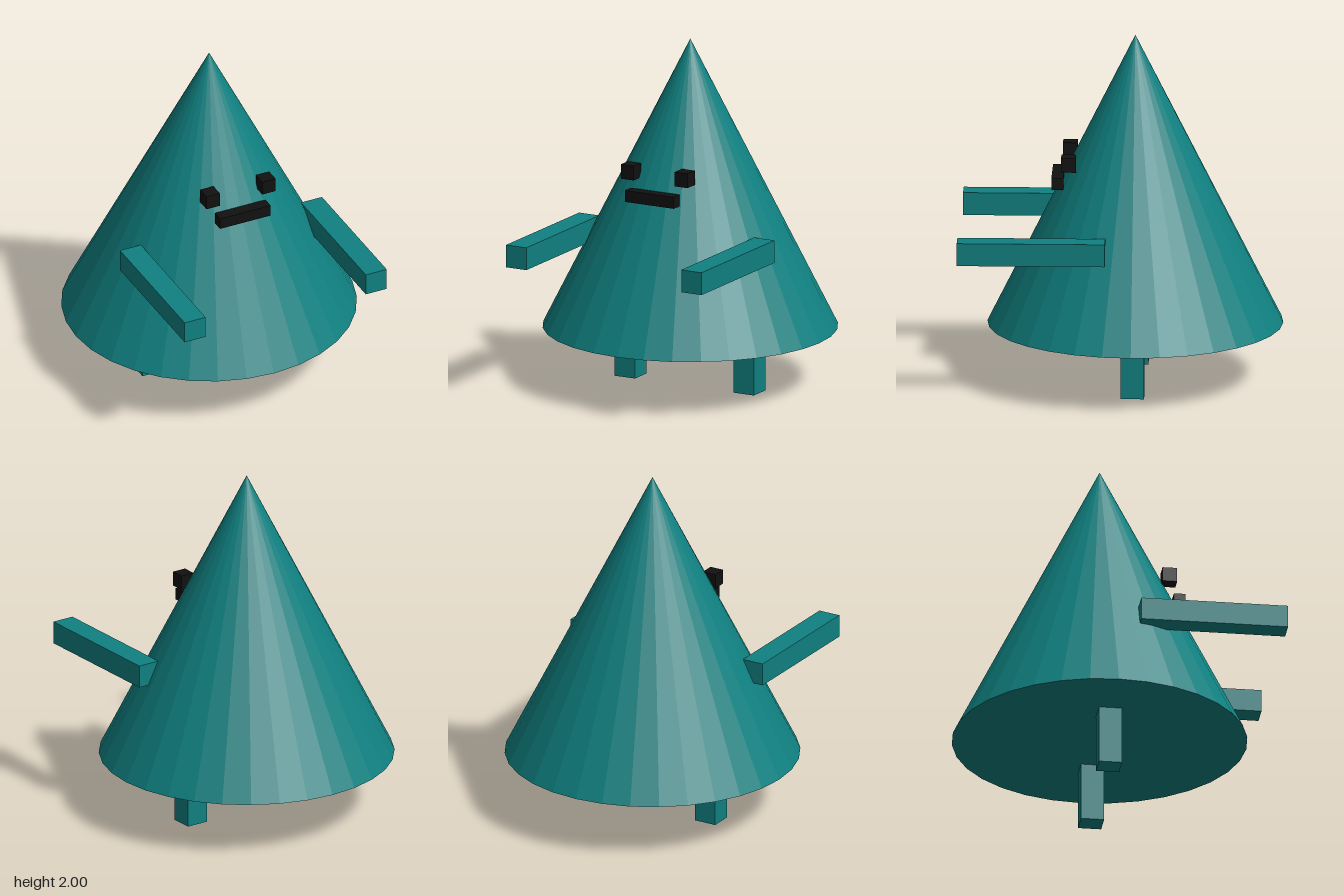
import * as THREE from 'three';

export function createModel() {
  const model = new THREE.Group();
  const teal = new THREE.MeshStandardMaterial({ color: 0x108080, flatShading: true });
  teal.name = 'teal';
  const black = new THREE.MeshStandardMaterial({ color: 0x111111 });
  black.name = 'black';

  function addBox(name, size, position, material) {
    const mesh = new THREE.Mesh(new THREE.BoxGeometry(...size), material);
    mesh.name = name;
    mesh.position.set(...position);
    model.add(mesh);
  }

  // Cone body
  const body = new THREE.Mesh(new THREE.ConeGeometry(0.832, 1.664, 32), teal);
  body.name = 'body';
  body.position.set(0, 1.168, -0.076);
  model.add(body);

  // Paired limbs and eyes
  for (const [side, s] of [['left', 1], ['right', -1]]) {
    addBox(side + 'Arm', [0.131, 0.13, 0.832], [s * 0.566, 0.878, 0.493], teal);
    addBox(side + 'Leg', [0.131, 0.4, 0.131], [s * 0.384, 0.2, -0.073], teal);
    addBox(side + 'Eye', [0.083, 0.083, 0.083], [s * 0.174, 1.293, 0.294], black);
  }

  // Mouth bar
  addBox('mouth', [0.316, 0.067, 0.067], [0, 1.17, 0.358], black);

  return model;
}
